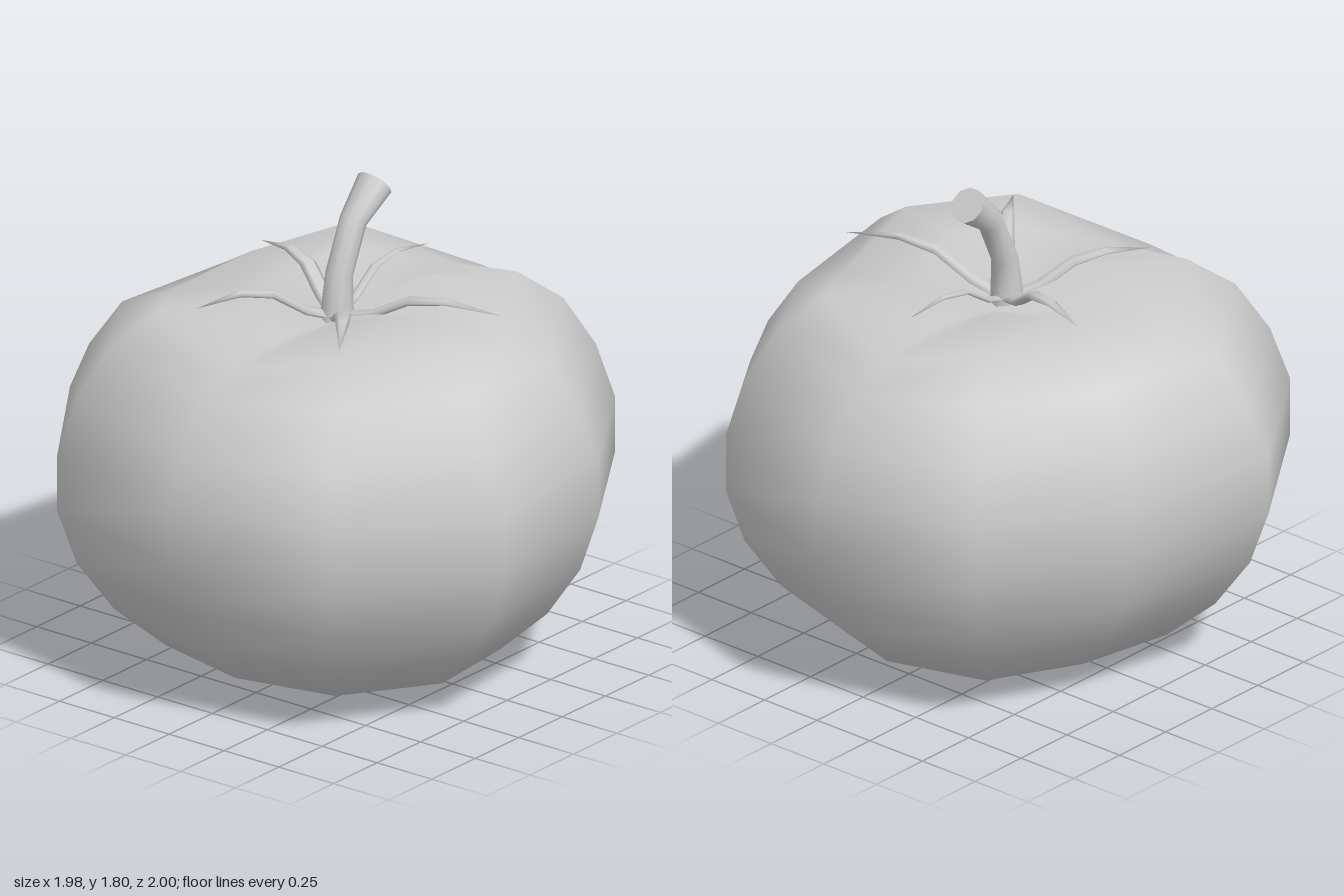
import * as THREE from 'three';
import { mergeVertices } from 'three/addons/utils/BufferGeometryUtils.js';

const V = (x, y, z) => new THREE.Vector3(x, y, z);

// Skin a list of closed rings (equal point counts) with smooth normals
function skin(name, rings) {
  const pos = [];
  const tri = (a, b, c) => {
    const area = b.clone().sub(a).cross(c.clone().sub(a)).length();
    if (area > 1e-7) for (const p of [a, b, c]) pos.push(p.x, p.y, p.z);
  };
  const n = rings[0].length;
  for (let j = 0; j < rings.length - 1; j++) {
    for (let i = 0; i < n; i++) {
      const k = (i + 1) % n;
      tri(rings[j][i], rings[j][k], rings[j + 1][k]);
      tri(rings[j][i], rings[j + 1][k], rings[j + 1][i]);
    }
  }
  let geo = new THREE.BufferGeometry();
  geo.setAttribute('position', new THREE.Float32BufferAttribute(pos, 3));
  geo = mergeVertices(geo, 1e-5);
  geo.computeVertexNormals();
  const mesh = new THREE.Mesh(geo, new THREE.MeshStandardMaterial({ color: 0xcccccc, side: THREE.DoubleSide }));
  mesh.name = name;
  return mesh;
}

// Rings along a path; side is the fixed sideways axis, flat squashes the height
function sweepRings(path, radii, side, sides, flat = 1) {
  return path.map((p, j) => {
    const a = path[Math.max(j - 1, 0)], b = path[Math.min(j + 1, path.length - 1)];
    const up = b.clone().sub(a).normalize().cross(side);
    return Array.from({ length: sides }, (_, i) => {
      const t = (i / sides) * Math.PI * 2;
      return p.clone()
        .addScaledVector(side, Math.cos(t) * radii[j])
        .addScaledVector(up, Math.sin(t) * radii[j] * flat);
    });
  });
}

// Ten-sided fruit: [radius, height, how strongly the grooves pull it down]
function makeFruit() {
  const profile = [
    [0, 0.005, 0], [0.3, 0.04, 0], [0.62, 0.1, 0], [0.8, 0.26, 0], [0.93, 0.45, 0],
    [1, 0.66, 0], [1, 0.88, 0], [0.93, 1.09, 0.35], [0.81, 1.28, 0.45],
    [0.64, 1.4, 1], [0.34, 1.425, 0.95], [0, 1.29, 0],
  ];
  // Per meridian, starting at the front and going towards +x
  const width = [1, 1.06, 1.04, 0.975, 1.01, 1, 1.01, 0.92, 1.04, 1.06];
  const groove = [0.11, 0, 0, 0.11, 0, 0.1, 0, 0.05, 0.1, 0];
  return skin('fruit', profile.map(([r, y, pull]) => width.map((w, i) => {
    const t = (i / 10) * Math.PI * 2;
    return V(Math.sin(t) * r * w, y - groove[i] * pull, r ? Math.cos(t) * r * w : -0.05);
  })));
}

export function createModel() {
  const model = new THREE.Group();
  model.name = 'tomato';
  model.add(makeFruit());

  // Bent stem with a flared, cut end
  const stemPath = [V(0, 1.29, 0.035), V(0, 1.35, 0.03), V(0, 1.47, 0.02), V(0, 1.65, -0.06), V(0, 1.755, -0.185)];
  const stem = sweepRings(stemPath, [0.065, 0.058, 0.05, 0.05, 0.068], V(1, 0, 0), 10);
  const end = stem[stem.length - 1];
  model.add(skin('stem', stem));
  model.add(skin('stemEnd', [end, end.map(() => stemPath[4].clone())]));

  // Five pointed sepals arching out from the stem
  const tips = [[-0.49, -0.15], [0, -0.5], [0.63, -0.12], [0.38, 0.5], [-0.27, 0.5]];
  const steps = [[0, 1.31], [0.22, 1.345], [0.45, 1.425], [0.68, 1.445], [1, 1.42]];
  const sepals = new THREE.Group();
  sepals.name = 'sepals';
  tips.forEach(([x, z], i) => {
    const base = V(0, 0, 0.03), reach = V(x, 0, z).sub(base);
    const side = V(0, 1, 0).cross(reach).normalize();
    const path = steps.map(([t, y], j) => {
      const p = base.clone().addScaledVector(reach, t).setY(y);
      return p.addScaledVector(side, (i % 2 ? 0.015 : -0.02) * Math.sin(Math.PI * t) * (j > 0));
    });
    const w = i === 1 ? 0.6 : 1;
    sepals.add(skin('sepal', sweepRings(path, [0.035, 0.034, 0.033, 0.024, 0].map((r) => r * w), side, 6, 0.45)));
  });
  model.add(sepals);
  return model;
}
